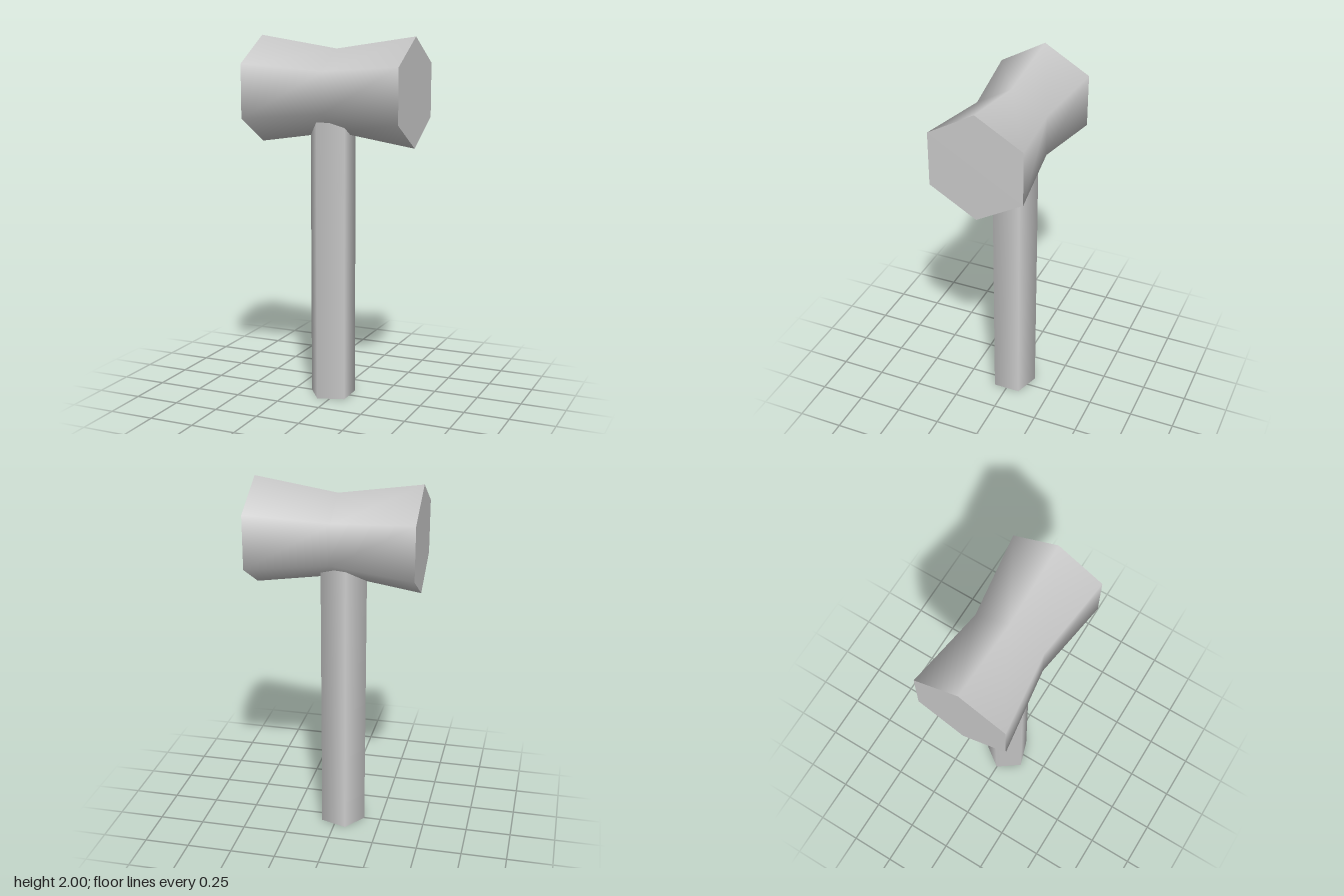
import * as THREE from 'three';

export function createModel() {
  const group = new THREE.Group();
  const material = new THREE.MeshStandardMaterial({ color: 0xcccccc });
  const add = (geometry, name, parent, x, y, z) => {
    const mesh = new THREE.Mesh(geometry, material);
    mesh.name = name;
    mesh.position.set(x, y, z);
    parent.add(mesh);
    return mesh;
  };

  // Five-sided handle: corner towards -x, flat side towards +x, sunk into the head
  const handleHeight = 1.65;
  add(
    new THREE.CylinderGeometry(0.1295, 0.1295, handleHeight, 5, 1, false, -Math.PI / 2),
    'handle', group, -0.026, handleHeight / 2, -0.001
  );

  // Six-sided head along x, pinched in the middle, corners up and down
  const head = new THREE.Group();
  head.name = 'head';
  head.position.set(0, 1.7085, -0.001);
  group.add(head);

  const half = 0.447, endRadius = 0.2915, waistRadius = 0.2235;
  const profile = [[endRadius, -half], [waistRadius, 0], [endRadius, half]]
    .map(([r, y]) => new THREE.Vector2(r, y));
  const body = new THREE.LatheGeometry(profile, 6, Math.PI / 2);
  body.rotateZ(-Math.PI / 2);
  add(body, 'headBody', head, 0, 0, 0);

  // Flat striking faces at both ends
  for (const side of [1, -1]) {
    const face = new THREE.CircleGeometry(endRadius, 6, Math.PI / 2);
    face.rotateY(side * Math.PI / 2);
    add(face, side > 0 ? 'leftStrikingFace' : 'rightStrikingFace', head, side * half, 0, 0);
  }

  return group;
}
